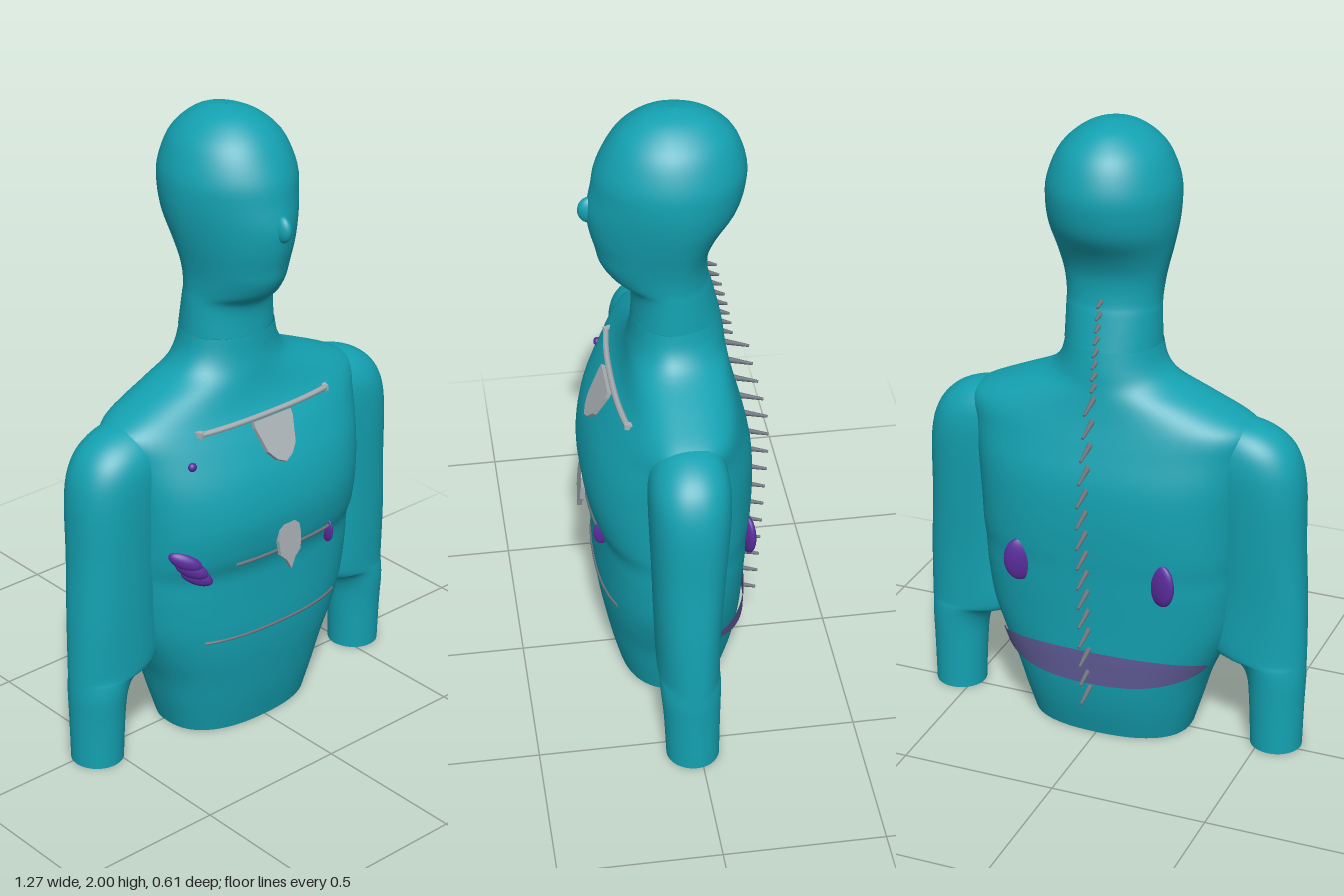
import * as THREE from 'three';

const material = (color) => new THREE.MeshStandardMaterial({ color, side: THREE.DoubleSide });
const skin = material(0x14a2b2), grey = material(0xa8b0b4), steel = material(0x6c747c);
const purple = material(0x5a2c9c), violet = material(0x5c5892);

// Cross-sections: [y, centre x, half width, front z, back z, squareness]
const TORSO = [
  [0.00, 0, 0.262, 0.19, -0.145, 2.4],
  [0.10, 0, 0.292, 0.215, -0.175, 2.4],
  [0.20, 0, 0.322, 0.235, -0.195, 2.4],
  [0.30, 0, 0.365, 0.252, -0.203, 2.4],
  [0.40, 0, 0.400, 0.260, -0.207, 2.4],
  [0.52, 0, 0.415, 0.260, -0.213, 2.5],
  [0.60, 0, 0.420, 0.263, -0.217, 2.5],
  [0.67, 0, 0.425, 0.285, -0.222, 2.6],
  [0.78, 0, 0.430, 0.299, -0.226, 2.6],
  [0.90, 0, 0.440, 0.278, -0.220, 2.6],
  [1.00, 0, 0.455, 0.232, -0.196, 2.5],
  [1.06, 0, 0.470, 0.195, -0.180, 2.4],
  [1.10, 0, 0.440, 0.172, -0.170, 2.3],
  [1.15, 0, 0.330, 0.155, -0.160, 2.2],
  [1.20, 0, 0.215, 0.145, -0.152, 2],
  [1.25, 0, 0.168, 0.136, -0.146, 2],
  [1.31, 0, 0.152, 0.131, -0.135, 2],
];
const HEAD = [
  [1.31, 0, 0.152, 0.131, -0.135, 2],
  [1.38, 0, 0.150, 0.130, -0.118, 2],
  [1.42, 0, 0.149, 0.145, -0.108, 1.9],
  [1.45, 0, 0.148, 0.190, -0.100, 1.8],
  [1.50, 0, 0.153, 0.223, -0.097, 1.8],
  [1.55, 0, 0.164, 0.236, -0.105, 1.8],
  [1.61, 0, 0.180, 0.252, -0.135, 1.75],
  [1.68, 0, 0.196, 0.260, -0.185, 1.7],
  [1.75, 0, 0.203, 0.247, -0.207, 1.8],
  [1.82, 0, 0.198, 0.232, -0.211, 1.9],
  [1.90, 0, 0.167, 0.190, -0.185, 2],
  [1.95, 0, 0.124, 0.145, -0.143, 2],
  [1.985, 0, 0.068, 0.085, -0.085, 2],
  [2.00, 0, 0.001, 0.004, -0.001, 2],
];
const ARM = [
  [0.00, 0.548, 0.082, 0.105, -0.060, 2],
  [0.15, 0.546, 0.087, 0.112, -0.062, 2],
  [0.24, 0.542, 0.094, 0.120, -0.064, 2],
  [0.29, 0.524, 0.112, 0.122, -0.066, 2],
  [0.33, 0.480, 0.156, 0.125, -0.067, 2.2],
  [0.50, 0.480, 0.152, 0.132, -0.070, 2.3],
  [0.70, 0.475, 0.146, 0.138, -0.085, 2.3],
  [0.90, 0.462, 0.153, 0.144, -0.100, 2.3],
  [1.00, 0.440, 0.150, 0.138, -0.098, 2.3],
  [1.06, 0.410, 0.132, 0.112, -0.080, 2.2],
  [1.095, 0.390, 0.080, 0.070, -0.045, 2],
  [1.105, 0.385, 0.002, 0.020, 0.018, 2],
];

// Point on a cross-section; the back half may have its own squareness
function sectionPoint([y, cx, rx, zf, zb, n], a, zc, backN = n) {
  const c = Math.cos(a), s = Math.sin(a), e = 2 / (s > 0 ? n : backN);
  const depth = s > 0 ? zf - zc : zc - zb;
  return [cx + rx * Math.sign(c) * Math.abs(c) ** e, y, zc + depth * Math.sign(s) * Math.abs(s) ** e];
}

// Triangle grid over rows x cols points, optionally closed around
function grid(rows, cols, closed, point) {
  const pos = [], index = [];
  for (let i = 0; i < rows; i++) for (let j = 0; j < cols; j++) pos.push(...point(i, j));
  for (let i = 0; i < rows - 1; i++) {
    for (let j = 0; j < (closed ? cols : cols - 1); j++) {
      const a = i * cols + j, b = i * cols + (j + 1) % cols;
      index.push(a, a + cols, b, b, a + cols, b + cols);
    }
  }
  const g = new THREE.BufferGeometry();
  g.setAttribute('position', new THREE.Float32BufferAttribute(pos, 3));
  g.setIndex(index);
  g.computeVertexNormals();
  return g;
}

// Smooth skin through a stack of cross-sections
function loft(sections, zc, backN) {
  const rows = (sections.length - 1) * 4 + 1, cols = 64;
  const columns = sections[0].map((_, k) => new THREE.SplineCurve(sections.map((r, i) => new THREE.Vector2(i, r[k]))));
  const smooth = Array.from({ length: rows }, (_, i) => columns.map((c) => c.getPoint(i / (rows - 1)).y));
  return grid(rows, cols, true, (i, j) => sectionPoint(smooth[i], j / cols * Math.PI * 2, zc, backN));
}

// Interpolated section at a height, and the surface z there
function sectionAt(y, sections = TORSO) {
  const i = Math.max(1, sections.findIndex((r) => r[0] >= y));
  const a = sections[i - 1], b = sections[i], t = (y - a[0]) / (b[0] - a[0]);
  return a.map((v, k) => v + (b[k] - v) * t);
}
function surfaceZ(x, y, front = true) {
  const [, , rx, zf, zb, n] = sectionAt(y);
  const f = Math.max(0, 1 - Math.abs(x / rx) ** n) ** (1 / n);
  return 0.02 + ((front ? zf : zb) - 0.02) * f;
}

export function createModel() {
  const model = new THREE.Group();
  const add = (name, geometry, mat, parent = model) => {
    const mesh = new THREE.Mesh(geometry, mat);
    mesh.name = name;
    parent.add(mesh);
    return mesh;
  };
  const ellipsoid = (name, mat, [x, y, z], [sx, sy, sz], ry = 0, rz = 0) => {
    const m = add(name, new THREE.SphereGeometry(1, 24, 16), mat);
    m.position.set(x, y, z);
    m.scale.set(sx, sy, sz);
    m.rotation.set(0, ry, rz);
    return m;
  };

  // Body
  add('torso', loft(TORSO, 0.02), skin);
  add('head', loft(HEAD, 0.01, 2), skin);
  for (const side of [1, -1]) {
    const rows = ARM.map((r) => [r[0], r[1] * side, ...r.slice(2)]);
    add(side > 0 ? 'leftArm' : 'rightArm', loft(rows, 0.02), skin);
  }
  ellipsoid('nose', skin, [0, 1.68, 0.25], [0.022, 0.042, 0.035]);

  // Collar bar, chest cord and waist cord following the skin
  const cord = (name, y, x0, x1, radius, mat, lift) => {
    const pts = Array.from({ length: 13 }, (_, i) => {
      const x = x0 + (x1 - x0) * i / 12;
      return new THREE.Vector3(x, y, surfaceZ(x, y) + lift);
    });
    return add(name, new THREE.TubeGeometry(new THREE.CatmullRomCurve3(pts), 48, radius, 6), mat);
  };
  cord('collarBar', 1.07, -0.25, 0.25, 0.01, grey, 0.006);
  for (const side of [1, -1]) {
    const tip = add('collarBarEnd', new THREE.BoxGeometry(0.018, 0.018, 0.045), grey);
    tip.position.set(0.255 * side, 1.07, surfaceZ(0.25, 1.07) - 0.008);
    tip.rotation.y = -0.3 * side;
  }
  cord('chestCord', 0.645, -0.19, 0.2, 0.006, steel, 0.003);
  cord('waistCord', 0.375, -0.27, 0.26, 0.005, steel, 0.002);

  // Shield-shaped chest plates
  const plate = (name, right, y, z, tilt) => {
    const shape = new THREE.Shape(right.concat(right.map(([x, v]) => [-x, v]).reverse())
      .map(([x, v]) => new THREE.Vector2(x, v)));
    const g = new THREE.ExtrudeGeometry(shape, { depth: 0.014, bevelEnabled: false });
    const m = add(name, g, grey);
    m.position.set(0, y, z);
    m.rotation.x = tilt;
  };
  plate('upperPlate', [[0, -0.075], [0.03, -0.06], [0.055, -0.03], [0.065, 0.01], [0.075, 0.05], [0.075, 0.07]], 1.0, 0.234, -0.47);
  plate('lowerPlate', [[0, -0.085], [0.018, -0.05], [0.04, -0.03], [0.045, 0.02], [0.04, 0.055], [0.02, 0.072], [0, 0.075]], 0.665, 0.288, -0.08);

  // Purple pads on the front
  for (let i = 0; i < 3; i++) {
    const x = -0.345 + i * 0.018, y = 0.69 - i * 0.03;
    ellipsoid('ribPad', purple, [x, y, surfaceZ(x, y)], [0.055, 0.026, 0.02], -0.65, -0.45);
  }
  ellipsoid('sidePad', purple, [0.197, 0.625, surfaceZ(0.197, 0.625)], [0.01, 0.042, 0.025]);
  ellipsoid('chestDot', purple, [-0.305, 0.99, surfaceZ(-0.305, 0.99)], [0.014, 0.014, 0.012]);

  // Purple pads on the back
  for (const side of [1, -1]) {
    ellipsoid('backPad', purple, [0.235 * side, 0.6, surfaceZ(0.235, 0.6, false)], [0.05, 0.072, 0.02], 0.35 * side);
  }

  // Crescent belt around the lower back
  const belt = grid(9, 41, false, (i, j) => {
    const u = j / 40 * 2 - 1, v = i / 4 - 1;
    const half = 0.056 * Math.cos(u * Math.PI / 2) ** 0.7;
    const p = sectionPoint(sectionAt(0.273 + v * half), -Math.PI / 2 + u * 1.28, 0.02);
    const out = 1.015 + 0.05 * (1 - u * u) * (1 - v) / 2;
    return [p[0] * 1.015, p[1], p[2] * out - 0.006];
  });
  add('backBelt', belt, violet);

  // Row of spines: short on the neck, long down the back
  const spines = new THREE.Group();
  spines.name = 'spines';
  model.add(spines);
  const spine = (y, z, length, radius) => {
    const g = new THREE.CylinderGeometry(radius * 0.45, radius, length, 8).translate(0, length / 2, 0);
    const m = add('spine', g, steel, spines);
    m.position.set(0, y, z);
    m.rotation.x = -Math.PI / 2 - 0.3;
  };
  for (let i = 0; i < 8; i++) {
    const y = 1.46 - i * 0.036;
    spine(y, sectionAt(y, y > 1.31 ? HEAD : TORSO)[4] + 0.005, 0.035, 0.009);
  }
  for (let i = 0; i < 15; i++) {
    const y = 1.17 - i * 0.0695;
    spine(y, surfaceZ(0, y, false) + 0.012, 0.09, 0.01);
  }
  return model;
}
